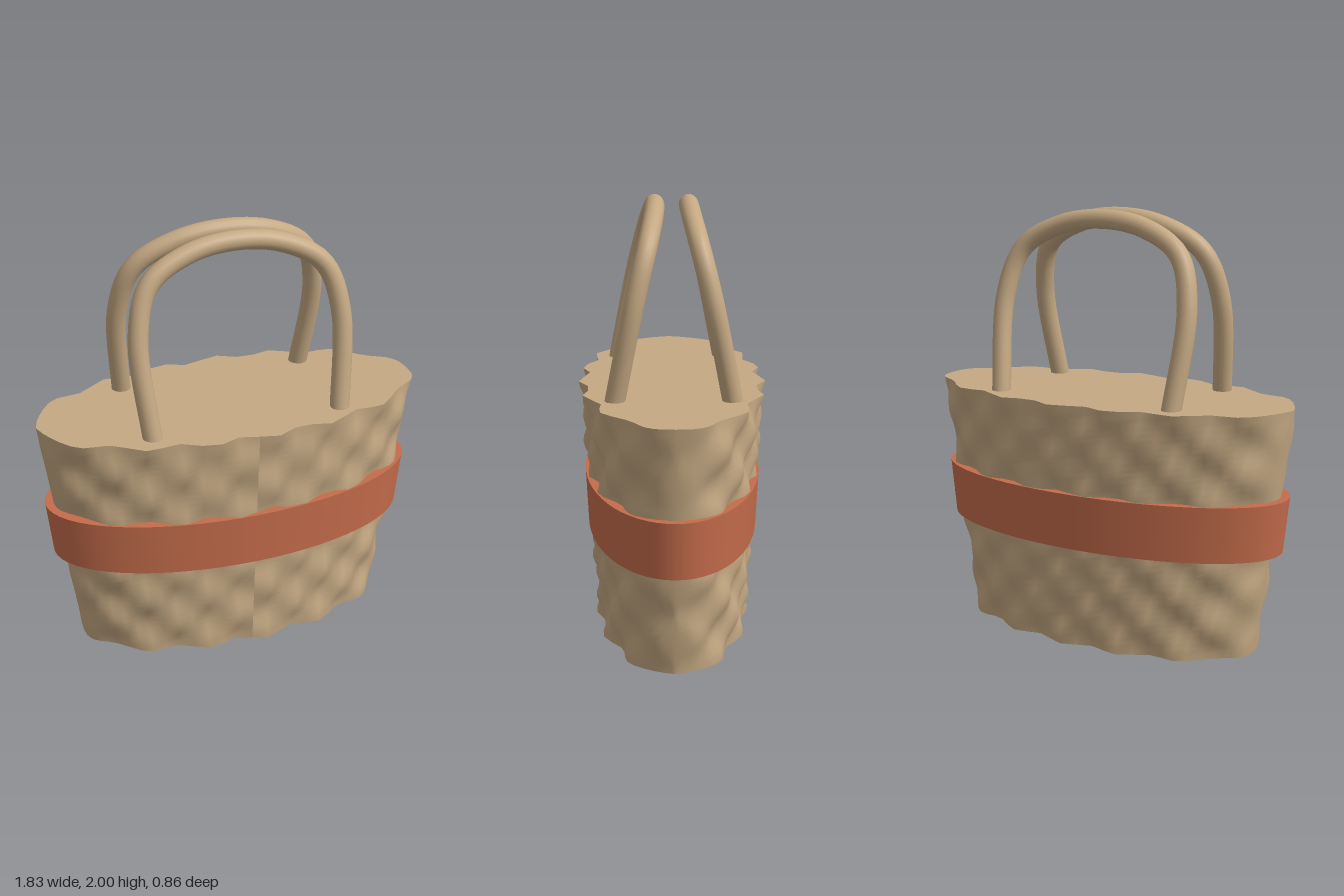
import * as THREE from 'three';

const HEIGHT = 1.155;   // basket height
const DEPTH = 0.448;    // ratio of oval depth to width

const straw = new THREE.MeshStandardMaterial({ color: 0xc4a882 });
straw.name = 'straw';
const terracotta = new THREE.MeshStandardMaterial({ color: 0xc46c4b });
terracotta.name = 'terracotta';

// Tapered oval basket whose sides carry a checkered woven relief
function makeBasket() {
  const geo = new THREE.CylinderGeometry(0.915, 0.755, HEIGHT, 64, 40);
  geo.scale(1, 1, DEPTH);
  geo.translate(0, HEIGHT / 2, 0);
  const p = geo.attributes.position;
  const k = 22;
  for (let i = 0; i < p.count; i++) {
    const x = p.getX(i), y = p.getY(i), z = p.getZ(i);
    if (Math.abs(z) < 1e-6) continue; // cap centres and side tips stay put
    const weave = 0.025 * Math.sin(k * x) * Math.cos(k * (y - HEIGHT));
    p.setZ(i, z + Math.sign(z) * weave);
  }
  geo.computeVertexNormals();
  const mesh = new THREE.Mesh(geo, straw);
  mesh.name = 'basketBody';
  return mesh;
}

// Smooth oval band around the middle
function makeBand() {
  const geo = new THREE.CylinderGeometry(0.897, 0.87, 0.26, 64);
  geo.scale(1, 1, 0.455);
  const mesh = new THREE.Mesh(geo, terracotta);
  mesh.position.y = 0.615;
  mesh.name = 'band';
  return mesh;
}

// Arched handle leaning in toward the middle; side is +1 (front) or -1 (back)
function makeHandle(side) {
  const half = [
    [0.445, 1.1, 0.268],
    [0.475, 1.6, 0.168],
    [0.405, 1.815, 0.115],
    [0.22, 1.922, 0.086],
  ];
  const left = half.map(([x, y, z]) => new THREE.Vector3(-x, y, z * side));
  const right = half.map(([x, y, z]) => new THREE.Vector3(x, y, z * side)).reverse();
  const curve = new THREE.CatmullRomCurve3([...left, new THREE.Vector3(0, 1.955, 0.078 * side), ...right]);
  const mesh = new THREE.Mesh(new THREE.TubeGeometry(curve, 64, 0.045, 16), straw);
  mesh.name = side > 0 ? 'frontHandle' : 'backHandle';
  return mesh;
}

export function createModel() {
  const bag = new THREE.Group();
  bag.name = 'wovenBag';
  bag.add(makeBasket(), makeBand(), makeHandle(1), makeHandle(-1));
  return bag;
}
